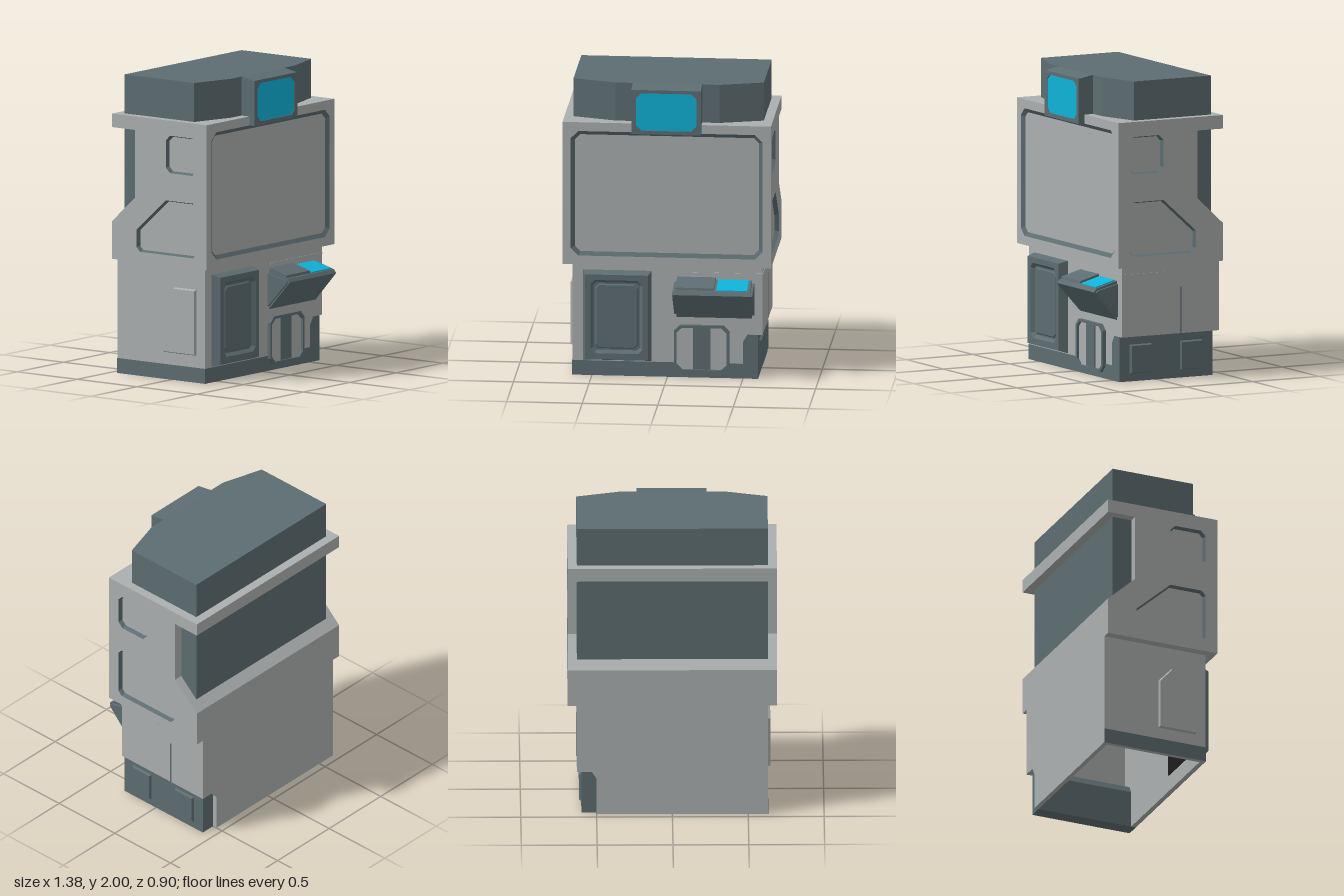
import * as THREE from 'three';

const mat = (name, color) => Object.assign(new THREE.MeshStandardMaterial({ color }), { name });

// Rectangle outline with cut corners
function cutRect(x0, x1, y0, y1, c) {
  return [[x0 + c, y0], [x1 - c, y0], [x1, y0 + c], [x1, y1 - c],
    [x1 - c, y1], [x0 + c, y1], [x0, y1 - c], [x0, y0 + c]];
}
const rect = (x0, x1, y0, y1) => [[x0, y0], [x1, y0], [x1, y1], [x0, y1]];
const toVecs = pts => {
  const v = pts.map(p => new THREE.Vector2(p[0], p[1]));
  return THREE.ShapeUtils.isClockWise(v) ? v.reverse() : v;
};

// Straight prism from z0 to z1, with optional holes
function prism(pts, z0, z1, holes = []) {
  const shape = new THREE.Shape(toVecs(pts));
  for (const h of holes) shape.holes.push(new THREE.Path(toVecs(h)));
  return new THREE.ExtrudeGeometry(shape, { depth: z1 - z0, bevelEnabled: false }).translate(0, 0, z0);
}

// Offset a convex outline inwards by w
function inset(v, w) {
  const n = v.length;
  return v.map((p, i) => {
    const a = p.clone().sub(v[(i + n - 1) % n]).normalize();
    const b = v[(i + 1) % n].clone().sub(p).normalize();
    const na = new THREE.Vector2(-a.y, a.x), nb = new THREE.Vector2(-b.y, b.x);
    const k = w / (1 + na.dot(nb));
    return p.clone().add(na.add(nb).multiplyScalar(k));
  });
}

// Sloping walls from an outline at z0 to its inset at z1, optionally capped
function bevel(pts, w, z0, z1, cap = true) {
  const o = toVecs(pts), q = inset(o, w), n = o.length, pos = [];
  const add = (p, z) => pos.push(p.x, p.y, z);
  for (let i = 0; i < n; i++) {
    const j = (i + 1) % n;
    add(o[i], z0); add(o[j], z0); add(q[j], z1);
    add(o[i], z0); add(q[j], z1); add(q[i], z1);
    if (cap && i > 0 && i < n - 1) { add(q[0], z1); add(q[i], z1); add(q[j], z1); }
  }
  const g = new THREE.BufferGeometry();
  g.setAttribute('position', new THREE.Float32BufferAttribute(pos, 3));
  g.computeVertexNormals();
  return g;
}

export function createModel() {
  const model = new THREE.Group();
  model.name = 'vendingKiosk';
  const light = mat('lightGrey', 0xabafaf);
  const dark = mat('slateGrey', 0x5d6d71);
  const cyan = mat('screenCyan', 0x10b2d8);
  const black = mat('black', 0x1d1d1d);

  const put = (name, geo, m, parent = model) => {
    const mesh = new THREE.Mesh(geo, m);
    mesh.name = name;
    parent.add(mesh);
    return mesh;
  };
  const box = (name, m, x0, x1, y0, y1, z0, z1) => put(name,
    new THREE.BoxGeometry(x1 - x0, y1 - y0, z1 - z0)
      .translate((x0 + x1) / 2, (y0 + y1) / 2, (z0 + z1) / 2), m);
  // Side profile given as [z, y], swept along x
  const sweep = (name, m, prof, x0, x1) => put(name,
    prism(prof.map(([z, y]) => [-z, y]), x0, x1).rotateY(Math.PI / 2), m);

  // Upper cabinet: core, front plate with recessed panel
  const cabinet = [[0.32, 0.77], [0.32, 1.74], [-0.45, 1.74], [-0.45, 1.65],
    [-0.255, 1.65], [-0.255, 1.2], [-0.45, 1.02], [-0.45, 0.77]];
  sweep('cabinetCore', light, cabinet, -0.66, 0.66);
  const panel = cutRect(-0.635, 0.635, 0.83, 1.68, 0.05);
  put('cabinetFront', prism(rect(-0.69, 0.69, 0.77, 1.74), 0.32, 0.34, [panel]), light);
  put('frontPanelRim', bevel(panel, 0.026, 0.34, 0.321, false), dark);

  // Cabinet sides with two recessed windows each
  const smallWindow = cutRect(0, 0.255, 1.39, 1.64, 0.035);
  const largeWindow = [[0.225, 1.205], [0, 1.205], [-0.245, 0.985], [-0.245, 0.87],
    [-0.215, 0.84], [0.225, 0.84], [0.255, 0.87], [0.255, 1.175]];
  for (const s of [1, -1]) {
    const side = new THREE.Group();
    side.name = s > 0 ? 'leftSide' : 'rightSide';
    side.rotation.y = s * Math.PI / 2;
    model.add(side);
    const map = pts => pts.map(([z, y]) => [-s * z, y]);
    const holes = [smallWindow, largeWindow].map(map);
    put('sidePlate', prism(map(cabinet), 0.66, 0.69, holes), light, side);
    for (const h of holes) put('windowRim', bevel(h, 0.01, 0.69, 0.661, false), dark, side);

    if (s > 0) {
      // Raised pads on the low side box, and a seam above
      for (const z of [0.1225, -0.2575])
        put('sidePad', bevel(map(rect(z - 0.083, z + 0.083, 0.05, 0.245)), 0.008, 0.6, 0.615), dark, side);
      put('sideSeam', prism(map(rect(-0.168, -0.158, 0.3, 0.61)), 0.63, 0.633), dark, side);
      put('sideGroove', prism(map(rect(-0.05, 0.283, 0.708, 0.718)), 0.63, 0.633), light, side);
    } else {
      // Raised service hatch and base strip
      put('serviceHatch', bevel(map([[0.21, 0.18], [0.21, 0.62], [0.03, 0.62],
        [-0.06, 0.52], [-0.06, 0.18]]), 0.008, 0.63, 0.648), light, side);
      put('sideBaseStrip', prism(map(rect(-0.45, 0.283, 0, 0.1)), 0.63, 0.632), dark, side);
    }
  }

  // Dark inner housing, rising above the cabinet
  const roof = [[-0.63, 0.39], [0.63, 0.39], [0.63, -0.19], [0.345, -0.275], [-0.345, -0.275], [-0.63, -0.19]];
  put('topHousing', prism(roof, 1.73, 2).rotateX(-Math.PI / 2), dark);
  box('rearHousing', dark, -0.63, 0.63, 1.03, 1.7, -0.39, -0.2);

  // Sign with screen
  sweep('signBox', dark, [[0.2, 1.68], [0.375, 1.68], [0.375, 1.982], [0.28, 2], [0.2, 2]], -0.23, 0.23);
  const signScreen = cutRect(-0.2, 0.2, 1.705, 1.96, 0.035);
  put('signFrame', prism(rect(-0.23, 0.23, 1.68, 1.982), 0.375, 0.385, [signScreen]), dark);
  put('signScreen', prism(signScreen, 0.374, 0.379), cyan);

  // Hollow lower body, open underneath, with a corner notch
  const wall = [[-0.63, 0], [0.5, 0], [0.5, 0.25], [0.53, 0.3], [0.63, 0.3], [0.63, 0.77], [-0.63, 0.77]];
  put('lowerFront', prism(wall, 0.25, 0.28), light);
  put('lowerBack', prism(wall, -0.45, -0.42), light);
  box('lowerRightWall', light, -0.63, -0.6, 0, 0.77, -0.42, 0.25);
  box('lowerLeftWall', light, 0.6, 0.63, 0.3, 0.77, -0.42, 0.25);
  put('cornerBox', prism([[0.5, 0], [0.6, 0], [0.6, 0.3], [0.53, 0.3], [0.5, 0.25]], -0.42, 0.283), dark);
  box('frontBaseStrip', dark, -0.632, 0.5, 0, 0.1, 0.28, 0.283);
  box('frontGroove', light, 0.07, 0.633, 0.708, 0.718, 0.28, 0.283);
  box('doorBack', black, -0.55, -0.11, 0.11, 0.71, 0.243, 0.249);

  // Door with stepped recess
  const doorHole = cutRect(-0.505, -0.16, 0.165, 0.665, 0.03);
  const door = rect(-0.56, -0.105, 0.105, 0.72);
  put('doorEdge', bevel(door, 0.018, 0.28, 0.34, false), dark);
  put('doorFrame', prism(rect(-0.542, -0.123, 0.123, 0.702), 0.31, 0.34, [doorHole]), dark);
  put('doorRecess', bevel(doorHole, 0.02, 0.34, 0.318), dark);
  put('doorInset', bevel(cutRect(-0.475, -0.19, 0.195, 0.635, 0.025), 0.008, 0.318, 0.326), dark);

  // Slanted console with keypad block and screen
  sweep('console', dark, [[0.28, 0.67], [0.435, 0.628], [0.453, 0.605], [0.445, 0.595], [0.28, 0.41]], 0.06, 0.56);
  for (const x of [0.045, 0.56])
    sweep('consoleCheek', dark, [[0.28, 0.65], [0.43, 0.615], [0.44, 0.6], [0.28, 0.43]], x, x + 0.015);
  sweep('consoleBlock', dark, [[0.28, 0.67], [0.425, 0.631], [0.42, 0.648], [0.28, 0.686]], 0.065, 0.32);
  sweep('consoleScreen', cyan, [[0.285, 0.668], [0.425, 0.63], [0.425, 0.637], [0.285, 0.675]], 0.335, 0.54);

  // Pick-up tray
  const tray = cutRect(0.045, 0.41, 0.04, 0.36, 0.04);
  const trayHole = cutRect(0.062, 0.393, 0.057, 0.343, 0.035);
  put('trayFrame', prism(tray, 0.28, 0.305, [trayHole]), dark);
  put('trayPanel', prism(trayHole, 0.28, 0.288), light);
  box('trayStripe', dark, 0.17, 0.285, 0.057, 0.343, 0.28, 0.294);

  return model;
}
